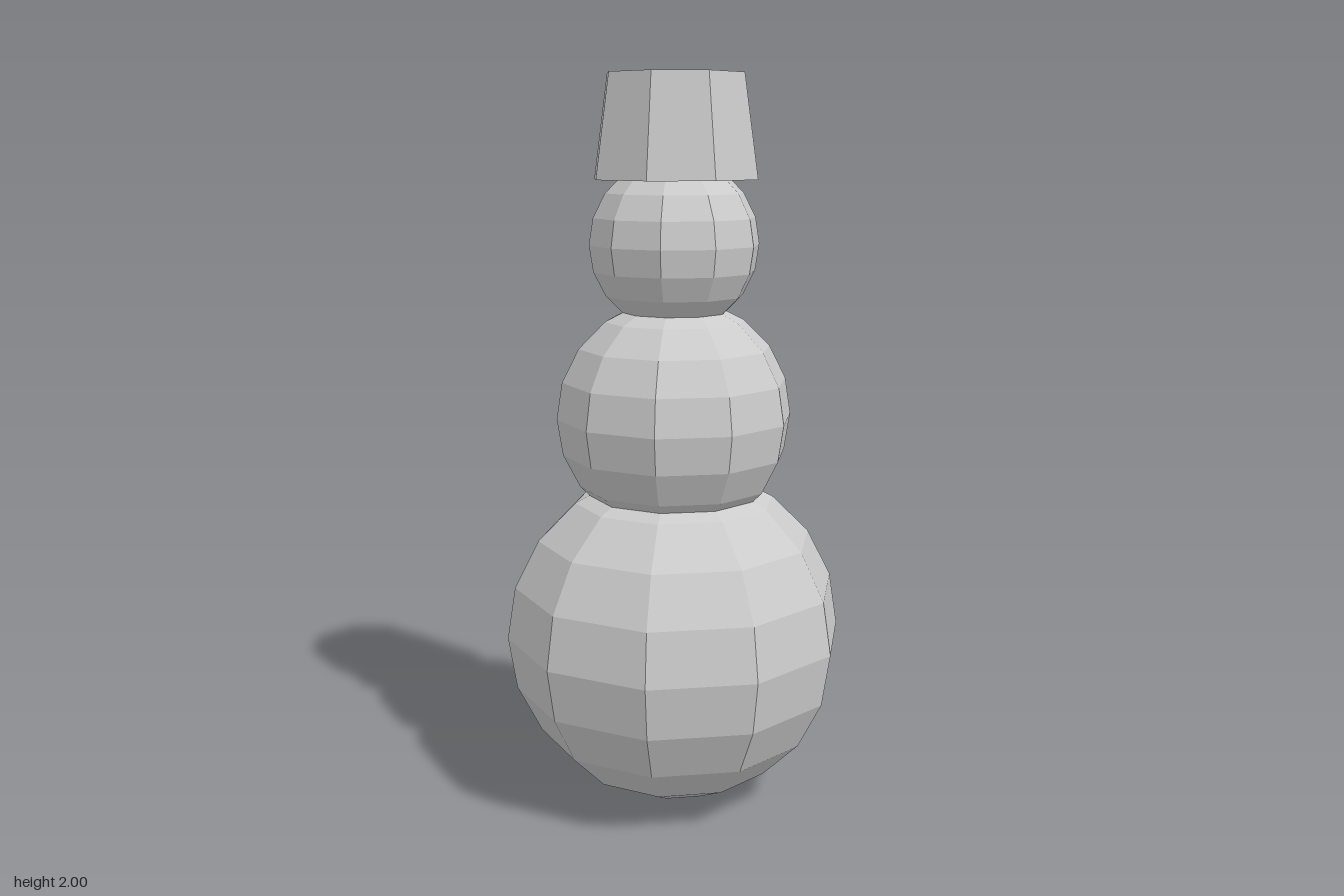
import * as THREE from 'three';

export function createModel() {
  const model = new THREE.Group();
  const material = new THREE.MeshStandardMaterial({ color: 0xcccccc, flatShading: true });

  const add = (name, geometry, y) => {
    const mesh = new THREE.Mesh(geometry, material);
    mesh.name = name;
    mesh.position.y = y;
    model.add(mesh);
  };

  // Stacked ten-sided snowballs, turned so a corner faces front and back
  const balls = [
    ['lowerBall', 0.47, 0.472],
    ['middleBall', 0.324, 1.088],
    ['head', 0.231, 1.555],
  ];
  for (const [name, radius, y] of balls) {
    add(name, new THREE.SphereGeometry(radius, 10, 10).rotateY(Math.PI / 10), y);
  }

  // Eight-sided tapered hat, closed at both ends
  const hatBottom = 1.727, hatTop = 2;
  add('hat', new THREE.CylinderGeometry(0.19, 0.229, hatTop - hatBottom, 8), (hatBottom + hatTop) / 2);

  return model;
}
